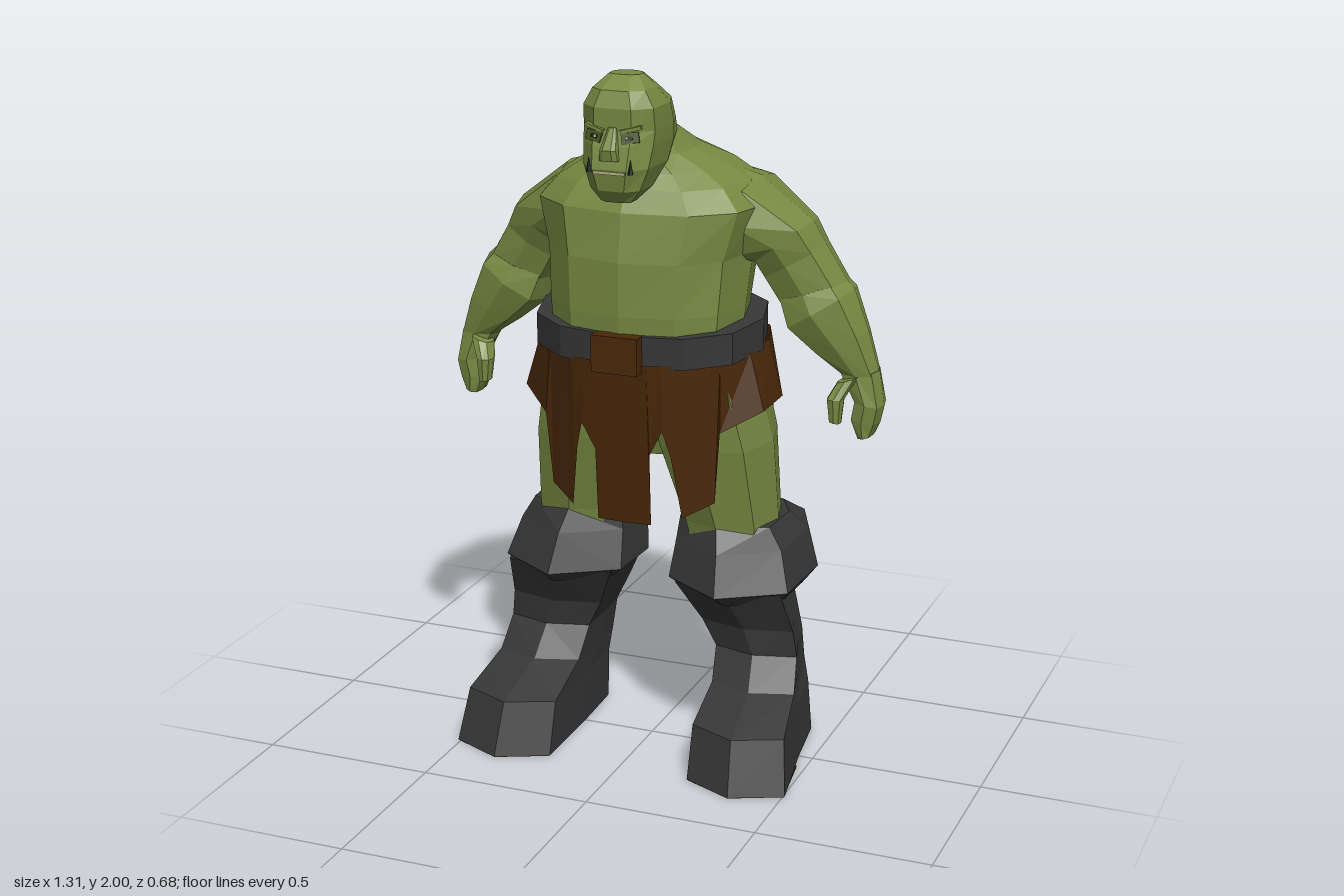
import * as THREE from 'three';

const mat = (name, color, extra = {}) => {
  const m = new THREE.MeshStandardMaterial({ color, flatShading: true, ...extra });
  m.name = name;
  return m;
};

// Skin a stack of equal-length rings, cap both ends, and face everything outward
function loft(rings) {
  const tris = [], n = rings[0].length, last = rings.length - 1;
  for (let i = 0; i < last; i++) for (let j = 0; j < n; j++) {
    const k = (j + 1) % n, a = rings[i], b = rings[i + 1];
    tris.push([a[j], a[k], b[k]], [a[j], b[k], b[j]]);
  }
  for (let j = 1; j < n - 1; j++) {
    tris.push([rings[0][0], rings[0][j + 1], rings[0][j]]);
    tris.push([rings[last][0], rings[last][j], rings[last][j + 1]]);
  }
  const o = rings[0][0], t = new THREE.Vector3();
  let vol = 0;
  for (const [a, b, c] of tris) {
    const p = a.clone().sub(o), q = b.clone().sub(o);
    vol += p.dot(t.crossVectors(q, c.clone().sub(o)));
  }
  const pts = tris.flatMap(([a, b, c]) => (vol < 0 ? [a, c, b] : [a, b, c]));
  const g = new THREE.BufferGeometry().setFromPoints(pts);
  g.computeVertexNormals();
  return g;
}

// Unit outlines in (x, z); most are mirrored from one half
const mirrored = (half) => [...half, ...half.filter((p) => p[0] !== 0).reverse().map(([x, z]) => [-x, z])];
const HEAD = mirrored([[0.5, 1], [0.95, 0.68], [1, -0.15], [0.75, -0.7], [0.2, -1]]);
const CUFF = [[0, 1], [0.95, 0.55], [1, -0.4], [0.65, -1], [-0.55, -0.9], [-1, -0.2], [-0.95, 0.55]];
const FOOT = [[0, 1], [1, 0.78], [0.68, -0.1], [0.5, -0.75], [0.2, -1],
  [-0.6, -1], [-0.95, -0.75], [-1, -0.1], [-1, 0.78]];
const TOE = mirrored([[0, 1], [1, 0.5], [0.8, -1]]);
const HEEL = mirrored([[1, 1], [0.6, -1]]);
const round = (n, e) => Array.from({ length: n }, (_, i) => {
  const a = (i / n) * Math.PI * 2, f = (v) => Math.sign(v) * Math.abs(v) ** e;
  return [f(Math.sin(a)), f(Math.cos(a))];
});
const BODY = round(12, 0.85), THIGH = round(8, 0.8), ARM = round(8, 0.7);

// Level ring fitted to x0..x1 and z0..z1; tilt lowers the front
const level = (shape, s = 1, tilt = 0) => ([y, x0, x1, z0, z1]) => shape.map(([u, v]) => {
  const z = (z0 + z1) / 2 + (v * (z1 - z0)) / 2;
  return new THREE.Vector3(s * ((x0 + x1) / 2 + (u * (x1 - x0)) / 2), y - tilt * z, z);
});

// Limb ring spanning an outer and an inner point, with a depth in z
const limb = (s) => ([ox, oy, ix, iy, zc, rz]) => ARM.map(([u, v]) => new THREE.Vector3(
  s * ((ox + ix) / 2 + (u * (ox - ix)) / 2), (oy + iy) / 2 + (u * (oy - iy)) / 2, zc + rz * v));

export function createModel() {
  const model = new THREE.Group();
  model.name = 'ogre';
  const skin = mat('skin green', 0x788a42);
  const darkSkin = mat('dark green', 0x46521f);
  const leather = mat('dark leather', 0x373737);
  const brown = mat('brown hide', 0x4a2809, { side: THREE.DoubleSide });
  const bone = mat('bone', 0xb5b78a);
  const black = mat('black', 0x161812);

  const add = (parent, name, geo, m) => {
    const mesh = new THREE.Mesh(geo, m);
    mesh.name = name;
    parent.add(mesh);
    return mesh;
  };
  const box = (parent, name, size, pos, m, rot = [0, 0, 0]) => {
    const b = add(parent, name, new THREE.BoxGeometry(...size), m);
    b.position.set(...pos);
    b.rotation.set(...rot);
    return b;
  };

  // Hunched torso, hips and belt
  add(model, 'torso', loft([
    [1.22, -0.27, 0.27, -0.21, 0.24], [1.34, -0.28, 0.28, -0.245, 0.25],
    [1.49, -0.29, 0.29, -0.3, 0.25], [1.625, -0.33, 0.33, -0.303, 0.23],
    [1.685, -0.275, 0.275, -0.275, 0.2], [1.725, -0.21, 0.21, -0.25, 0.175],
    [1.77, -0.125, 0.125, -0.165, 0.16], [1.84, -0.07, 0.07, -0.04, 0.15],
  ].map(level(BODY))), skin);
  add(model, 'hips', loft([
    [0.9, -0.12, 0.12, -0.19, 0.09], [1.24, -0.28, 0.28, -0.21, 0.21],
  ].map(level(BODY))), skin);
  add(model, 'belt', loft([
    [1.215, -0.33, 0.33, -0.265, 0.255], [1.305, -0.33, 0.33, -0.27, 0.26],
  ].map(level(BODY, 1, 0.06))), leather);
  box(model, 'buckle', [0.135, 0.105, 0.045], [0, 1.24, 0.262], brown);

  // Ragged hide skirt: columns from front centre to back centre [topX, topZ, hemX, hemY, hemZ]
  const cols = [
    [0, 0.255, 0, 0.735, 0.215], [0.08, 0.25, 0.08, 0.735, 0.21], [0.08, 0.25, 0.081, 0.945, 0.225],
    [0.12, 0.24, 0.12, 1.02, 0.23], [0.15, 0.23, 0.14, 0.945, 0.215], [0.17, 0.215, 0.165, 0.76, 0.19],
    [0.24, 0.17, 0.245, 0.8, 0.145], [0.26, 0.15, 0.262, 1.01, 0.155], [0.315, 0.06, 0.36, 1.06, 0.07],
    [0.325, -0.07, 0.36, 1.06, -0.09], [0.29, -0.18, 0.3, 1.04, -0.195], [0.285, -0.185, 0.265, 0.86, -0.265],
    [0.15, -0.25, 0.16, 0.84, -0.31], [0, -0.27, 0, 0.825, -0.325],
  ];
  const skirt = [];
  for (const s of [1, -1]) for (let i = 0; i < cols.length - 1; i++) {
    const [a, b] = s > 0 ? [cols[i], cols[i + 1]] : [cols[i + 1], cols[i]];
    const top = (c) => new THREE.Vector3(s * c[0], 1.225 - 0.06 * c[1], c[1]);
    const hem = (c) => new THREE.Vector3(s * c[2], c[3], c[4]);
    skirt.push(hem(a), hem(b), top(b), hem(a), top(b), top(a));
  }
  const skirtGeo = new THREE.BufferGeometry().setFromPoints(skirt);
  skirtGeo.computeVertexNormals();
  add(model, 'skirt', skirtGeo, brown);

  // Head and centred face parts
  const head = new THREE.Group();
  head.name = 'head';
  model.add(head);
  add(head, 'skull', loft([
    [1.665, -0.045, 0.045, 0.19, 0.275], [1.7, -0.075, 0.075, 0.1, 0.3],
    [1.76, -0.098, 0.098, 0, 0.312], [1.82, -0.106, 0.106, -0.035, 0.298],
    [1.86, -0.108, 0.108, -0.015, 0.284], [1.92, -0.106, 0.106, 0.02, 0.286],
    [1.965, -0.08, 0.08, 0.09, 0.268], [2, -0.045, 0.045, 0.14, 0.215],
  ].map(level(HEAD))), skin);
  add(head, 'nose', loft([
    [1.785, -0.028, 0.028, 0.27, 0.322], [1.815, -0.024, 0.024, 0.27, 0.328], [1.87, -0.012, 0.012, 0.26, 0.29],
  ].map(level(HEAD))), skin);
  box(head, 'mouth', [0.09, 0.008, 0.012], [0, 1.752, 0.309], bone);

  for (const s of [1, -1]) {
    const side = s > 0 ? 'left' : 'right';
    // Eyes, brows and tusks
    box(head, side + 'EyeSocket', [0.048, 0.028, 0.008], [s * 0.052, 1.845, 0.287], darkSkin, [-0.25, s * 0.2, s * 0.2]);
    box(head, side + 'Eye', [0.02, 0.01, 0.008], [s * 0.05, 1.845, 0.29], black, [-0.25, s * 0.2, s * 0.2]);
    box(head, side + 'EyeGlint', [0.007, 0.007, 0.006], [s * 0.046, 1.847, 0.293], bone);
    box(head, side + 'Brow', [0.058, 0.01, 0.016], [s * 0.052, 1.867, 0.282], skin, [0, s * 0.2, s * 0.25]);
    const tusk = add(head, side + 'Tusk', new THREE.ConeGeometry(0.008, 0.042, 5), black);
    tusk.position.set(s * 0.06, 1.772, 0.305);

    // Arm and hand, rooted inside the shoulder
    add(model, side + 'UpperArm', loft([
      [0.1, 1.74, 0.1, 1.45, -0.08, 0.165], [0.285, 1.69, 0.245, 1.46, -0.095, 0.165],
      [0.438, 1.572, 0.285, 1.45, -0.1, 0.118], [0.475, 1.505, 0.305, 1.405, -0.11, 0.103],
      [0.545, 1.39, 0.355, 1.32, -0.12, 0.095],
    ].map(limb(s))), skin);
    add(model, side + 'Forearm', loft([
      [0.53, 1.41, 0.345, 1.345, -0.115, 0.095], [0.557, 1.385, 0.372, 1.265, -0.115, 0.11],
      [0.602, 1.27, 0.455, 1.2, -0.11, 0.082], [0.637, 1.15, 0.53, 1.15, -0.11, 0.056],
    ].map(limb(s))), skin);
    add(model, side + 'Hand', loft([
      [0.637, 1.16, 0.525, 1.15, -0.11, 0.054], [0.653, 1.06, 0.57, 1.075, -0.11, 0.057],
      [0.643, 1.01, 0.56, 1.02, -0.11, 0.053], [0.625, 0.972, 0.585, 0.964, -0.108, 0.046],
    ].map(limb(s))), skin);
    add(model, side + 'Thumb', loft([
      [0.59, 1.15, 0.53, 1.13, -0.065, 0.035], [0.56, 1.09, 0.512, 1.09, -0.03, 0.028],
      [0.553, 1.02, 0.52, 1.025, -0.028, 0.021],
    ].map(limb(s))), skin);

    // Thigh
    add(model, side + 'Thigh', loft([
      [0.62, 0.11, 0.35, -0.2, 0.07], [0.7, 0.09, 0.362, -0.22, 0.085],
      [0.94, 0.02, 0.352, -0.235, 0.145], [1.18, 0, 0.3, -0.22, 0.19],
    ].map(level(THIGH, s))), skin);

    // Boot: folded cuff, shaft with foot, toe and heel soles
    add(model, side + 'BootCuff', loft([
      [0.48, 0.12, 0.41, -0.26, 0.11], [0.525, 0.065, 0.445, -0.34, 0.175],
      [0.635, 0.075, 0.41, -0.337, 0.125], [0.7, 0.085, 0.37, -0.23, 0.085],
    ].map(level(CUFF, s))), leather);
    add(model, side + 'Boot', loft([
      [0.003, 0.213, 0.507, -0.265, 0.336], [0.155, 0.213, 0.487, -0.265, 0.285],
      [0.22, 0.21, 0.46, -0.265, 0.1], [0.31, 0.2, 0.447, -0.268, 0.035],
      [0.39, 0.16, 0.437, -0.27, 0.045], [0.52, 0.1, 0.42, -0.275, 0.12],
    ].map(level(FOOT, s))), leather);
    add(model, side + 'ToeSole', loft([
      [0, 0.216, 0.504, 0.07, 0.334], [0.004, 0.216, 0.504, 0.07, 0.334],
    ].map(level(TOE, s))), brown);
    add(model, side + 'HeelSole', loft([
      [0, 0.225, 0.425, -0.262, -0.12], [0.004, 0.225, 0.425, -0.262, -0.12],
    ].map(level(HEEL, s))), brown);
  }
  return model;
}
